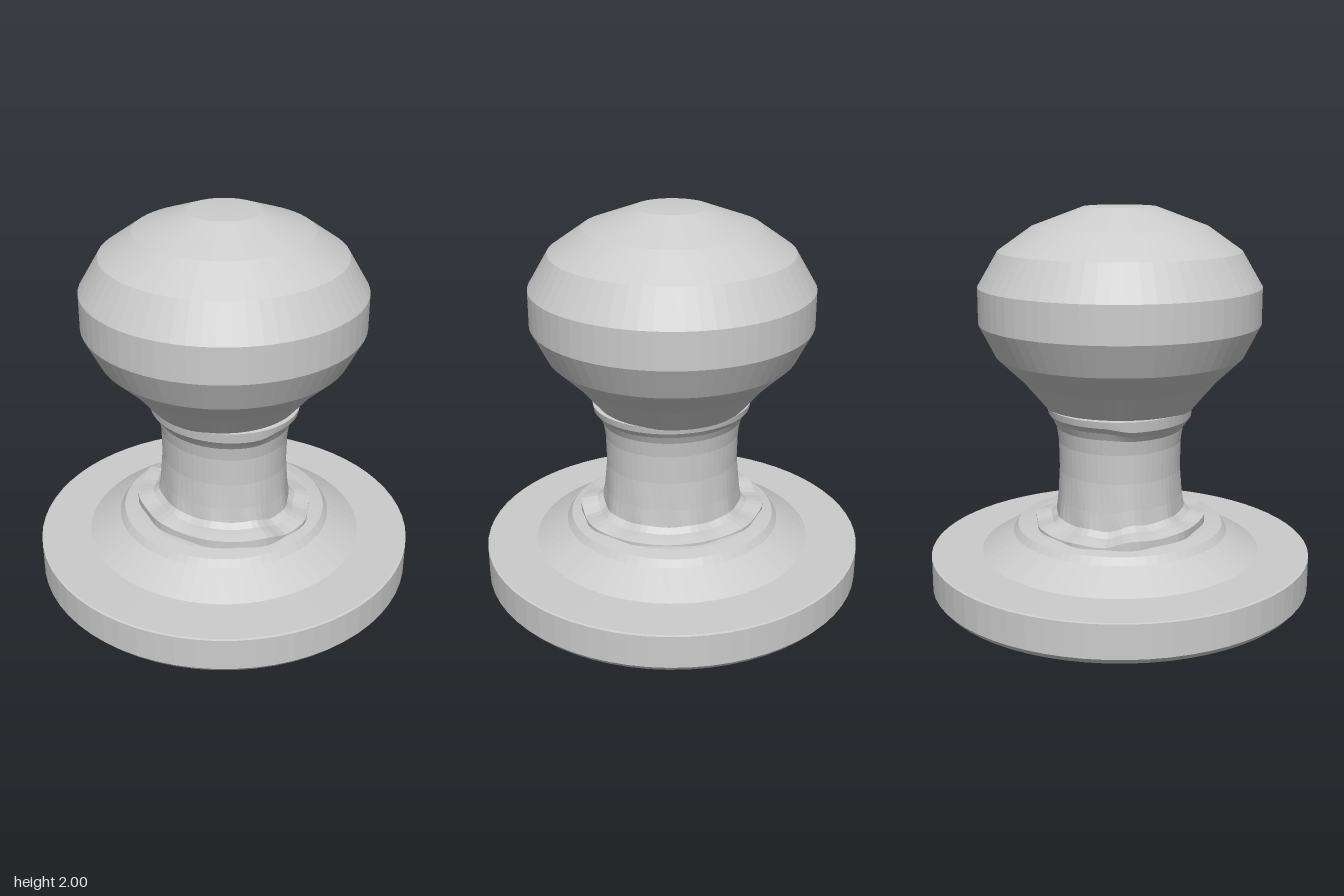
import * as THREE from 'three';

const SEGMENTS = 64;
const material = new THREE.MeshStandardMaterial({ color: 0xcccccc, flatShading: true, side: THREE.DoubleSide });

// Turned part from [radius, height] pairs, listed bottom to top
function turned(name, profile) {
  const points = profile.map(([r, y]) => new THREE.Vector2(r, y));
  const mesh = new THREE.Mesh(new THREE.LatheGeometry(points, SEGMENTS), material);
  mesh.name = name;
  return mesh;
}

export function createModel() {
  const group = new THREE.Group();
  group.name = 'doorKnob';

  // Round backplate with a chamfered rim and raised centre
  group.add(turned('backplate', [
    [0, 0.005], [0.97, 0.005], [0.995, 0.035], [0.995, 0.207], [0.985, 0.21],
    [0.73, 0.212], [0.565, 0.31], [0.54, 0.345], [0.47, 0.358], [0.3, 0.362],
  ]));

  // Slightly oval hand-formed neck, flaring into a collar at the foot
  const neck = turned('neck', [
    [0.47, 0.355], [0.47, 0.37], [0.42, 0.38], [0.385, 0.385], [0.355, 0.41],
    [0.345, 0.5], [0.335, 0.65], [0.338, 0.8], [0.35, 0.88], [0.37, 0.92],
    [0.393, 0.95], [0.4, 0.985], [0.37, 0.99],
  ]);
  const p = neck.geometry.attributes.position;
  for (let i = 0; i < p.count; i++) {
    const x = p.getX(i), y = p.getY(i), z = p.getZ(i);
    const angle = Math.atan2(z, x);
    // The collar is scalloped and one side stands a little higher
    const foot = 1 - THREE.MathUtils.smoothstep(y, 0.4, 0.6);
    const lip = THREE.MathUtils.smoothstep(y, 0.85, 0.92) * (y < 0.96 ? 1 : 0);
    const raised = THREE.MathUtils.smoothstep(-x, -0.02, 0.14);
    const wave = 1 + 0.015 * foot * Math.cos(10 * angle);
    const lift = y > 0.36 ? foot * (0.028 * raised + 0.005 * Math.cos(10 * angle)) : 0;
    p.setXYZ(i, x * 0.94 * wave, y + lift - 0.02 * raised * lip, z * 1.035 * wave);
  }
  neck.geometry.computeVertexNormals();
  group.add(neck);

  // Faceted knob
  group.add(turned('knob', [
    [0, 0.975], [0.38, 0.975], [0.5, 1.12], [0.635, 1.25], [0.718, 1.415],
    [0.718, 1.6], [0.615, 1.775], [0.445, 1.895], [0.185, 1.992], [0, 2.0],
  ]));

  return group;
}
